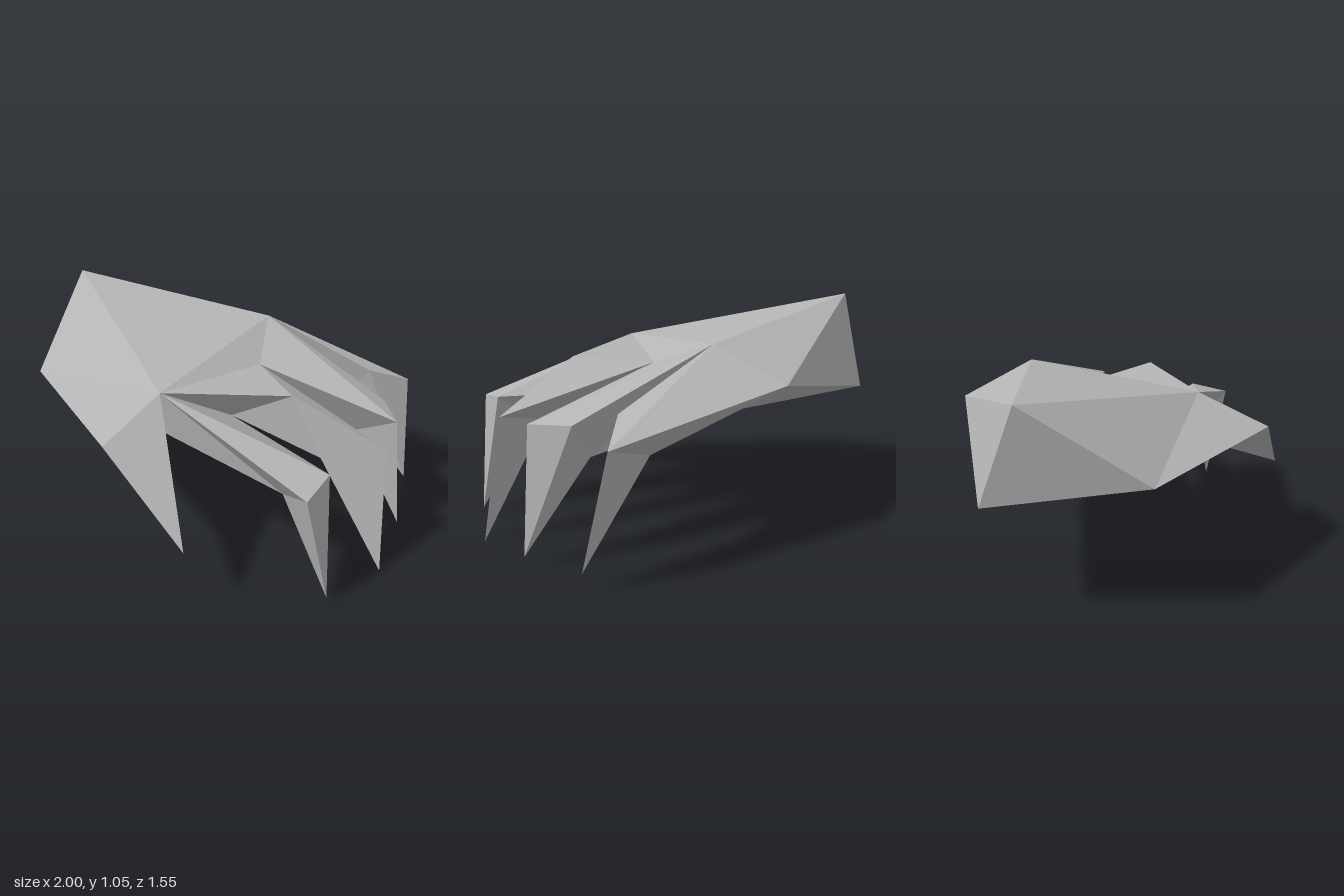
import * as THREE from 'three';

const skin = new THREE.MeshStandardMaterial({ color: 0xb4b4b4, flatShading: true, side: THREE.DoubleSide });
skin.name = 'stone grey';

// joints of the hand
const P = {
  wristTop: [-1, 1.05, -0.17], wristBack: [-0.98, 0.58, -0.35], wristFront: [-0.84, 0.685, 0.36],
  knuckleF: [0, 0.835, 0.4], knuckleM: [0.18, 0.805, -0.17], knuckleB: [0.04, 0.93, -0.47],
  ridge: [0.5, 0.825, 0.055], thumbBase: [-0.05, 0.705, 0.75], heel: [-0.16, 0.775, -0.76],
  underF: [-0.03, 0.61, 0.37], underM: [0.17, 0.617, 0.06], underB: [0.06, 0.585, -0.43],
  thumbTip: [0.41, 0.345, 0.775],
  a1: [0.815, 0.59, 0.445], b1: [0.815, 0.622, 0.25], u1: [0.62, 0.475, 0.31], t1: [0.895, 0.025, 0.34],
  b2: [0.925, 0.62, -0.085], u2: [0.66, 0.54, 0.04], t2: [1, 0, 0],
  a3: [0.875, 0.64, -0.31], b3: [0.735, 0.65, -0.46], u3: [0.62, 0.47, -0.385], t3: [0.93, 0.05, -0.345],
  a4: [0.585, 0.715, -0.595], b4: [0.725, 0.63, -0.78], u4: [0.45, 0.52, -0.62], t4: [0.81, 0.09, -0.69],
};
const V = (n) => new THREE.Vector3(...P[n]);

// faceted part from named corners; every face is turned away from the part's middle
function part(name, faces, middle) {
  const names = [...new Set(faces.flatMap((f) => f.split(' ')))];
  const mid = middle || names.reduce((s, n) => s.add(V(n)), new THREE.Vector3()).divideScalar(names.length);
  const pts = [];
  for (const f of faces) {
    const [a, b, c] = f.split(' ').map(V);
    const n = b.clone().sub(a).cross(c.clone().sub(a));
    const out = a.clone().add(b).add(c).divideScalar(3).sub(mid);
    pts.push(...(n.dot(out) >= 0 ? [a, b, c] : [a, c, b]));
  }
  const g = new THREE.BufferGeometry().setFromPoints(pts);
  g.computeVertexNormals();
  const mesh = new THREE.Mesh(g, skin);
  mesh.name = name;
  return mesh;
}

// claw: three faces running from the finger end to the tip
const claw = (name, a, b, u, t) =>
  part(name, [`${a} ${b} ${t}`, `${a} ${u} ${t}`, `${b} ${u} ${t}`]);

// finger: a three-sided prism from base corners (p, q, r) to end corners (a, b, u)
const finger = (name, p, q, r, a, b, u) => part(name, [
  `${p} ${a} ${b}`, `${p} ${b} ${q}`,
  `${p} ${a} ${u}`, `${p} ${u} ${r}`,
  `${q} ${b} ${u}`, `${q} ${u} ${r}`,
]);

export function createModel() {
  const hand = new THREE.Group();
  hand.name = 'clawedHand';

  hand.add(part('palm', [
    // back of the hand
    'wristTop knuckleF knuckleB', 'wristTop knuckleB heel', 'wristTop heel wristBack',
    'wristTop knuckleF wristFront', 'wristFront knuckleF thumbBase',
    'knuckleF knuckleB knuckleM', 'knuckleF knuckleM ridge',
    // wrist end
    'wristTop wristFront wristBack',
    // webs between the fingers
    'knuckleF ridge underM', 'knuckleM underM underB',
    // underside
    'wristBack heel underB', 'wristBack underB underM', 'wristBack underM underF',
    'wristBack underF wristFront', 'wristFront underF thumbBase', 'underF underM underB',
  ].slice(0, 15), new THREE.Vector3(-0.3, 0.75, 0)));

  hand.add(part('thumb', [
    'knuckleF thumbBase thumbTip', 'knuckleF underF thumbTip', 'thumbBase underF thumbTip',
  ]));

  hand.add(finger('firstFinger', 'knuckleF', 'underM', 'underF', 'a1', 'b1', 'u1'));
  hand.add(claw('firstClaw', 'a1', 'b1', 'u1', 't1'));

  hand.add(part('secondFinger', [
    'ridge b2 knuckleM', 'ridge underM u2', 'knuckleM b2 u2', 'knuckleM u2 underM',
  ]));
  hand.add(claw('secondClaw', 'ridge', 'b2', 'u2', 't2'));

  hand.add(part('thirdFinger', [
    'knuckleB knuckleM a3', 'knuckleB a3 b3', 'knuckleM a3 u3',
    'knuckleM u3 underB', 'knuckleB b3 u3', 'knuckleB u3 underB',
  ]));
  hand.add(claw('thirdClaw', 'a3', 'b3', 'u3', 't3'));

  hand.add(finger('fourthFinger', 'knuckleB', 'heel', 'underB', 'a4', 'b4', 'u4'));
  hand.add(claw('fourthClaw', 'a4', 'b4', 'u4', 't4'));

  return hand;
}
